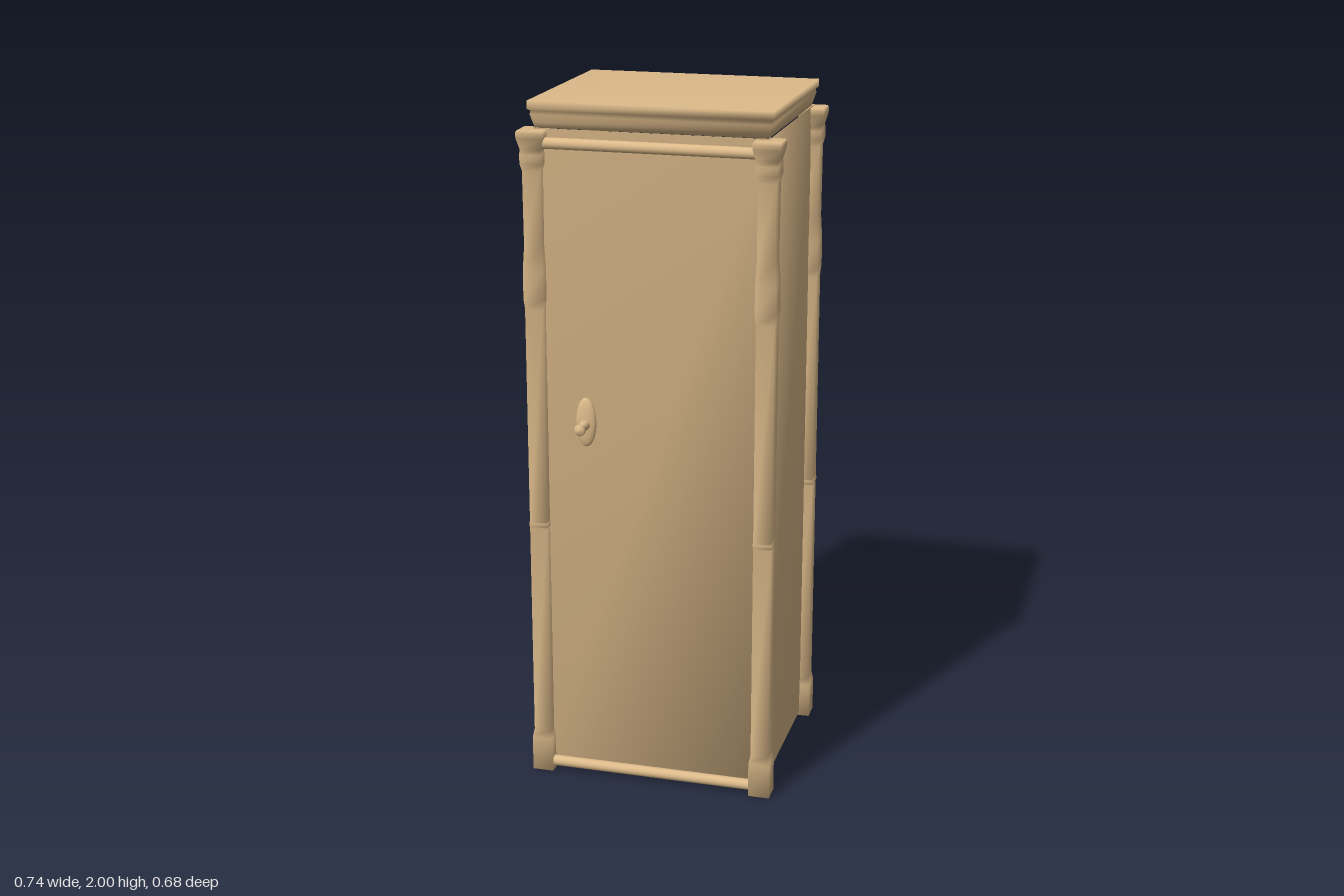
import * as THREE from 'three';

const wood = new THREE.MeshStandardMaterial({ color: 0xdcba8a });
wood.name = 'pale wood';

// Rectangular loft through rings [y, halfX, halfZ] with shared, smoothed corners
function loft(rings, capBottom, capTop) {
  const pos = [], idx = [];
  for (const [y, hx, hz = hx] of rings) {
    pos.push(-hx, y, hz, hx, y, hz, hx, y, -hz, -hx, y, -hz);
  }
  for (let r = 0; r < rings.length - 1; r++) {
    for (let i = 0; i < 4; i++) {
      const a = r * 4 + i, b = r * 4 + (i + 1) % 4;
      idx.push(a, b, b + 4, a, b + 4, a + 4);
    }
  }
  const t = (rings.length - 1) * 4;
  if (capBottom) idx.push(0, 2, 1, 0, 3, 2);
  if (capTop) idx.push(t, t + 1, t + 2, t, t + 2, t + 3);
  const g = new THREE.BufferGeometry();
  g.setAttribute('position', new THREE.Float32BufferAttribute(pos, 3));
  g.setIndex(idx);
  g.computeVertexNormals();
  return g;
}

export function createModel() {
  const group = new THREE.Group();
  group.name = 'wardrobe';
  const add = (name, geometry, x, y, z) => {
    const mesh = new THREE.Mesh(geometry, wood);
    mesh.name = name;
    mesh.position.set(x, y, z);
    group.add(mesh);
    return mesh;
  };
  const midZ = -0.018;

  // Cabinet and stepped cornice
  add('cabinet', loft([[0.012, 0.33, 0.282], [1.925, 0.33, 0.282]], true, false), 0, 0, midZ);
  add('cornice', loft([
    [1.925, 0.326, 0.28], [1.94, 0.33, 0.284], [1.962, 0.337, 0.289],
    [1.972, 0.335, 0.287], [1.978, 0.343, 0.295], [2, 0.343, 0.295],
  ], true, true), 0, 0, midZ);

  // Four square turned corner posts
  const post = loft([
    [0, 0.031], [0.105, 0.031], [0.13, 0.026], [0.77, 0.026], [0.775, 0.0275],
    [0.785, 0.0275], [0.79, 0.026], [1.42, 0.026], [1.45, 0.029], [1.53, 0.029],
    [1.6, 0.025], [1.81, 0.026], [1.83, 0.031], [1.855, 0.031], [1.87, 0.03],
    [1.9, 0.038], [1.915, 0.039], [1.922, 0.036],
  ], true, true);
  for (const x of [-0.33, 0.33]) {
    for (const z of [0.264, -0.3]) {
      add(z > 0 ? 'frontPost' : 'backPost', post, x, 0, z);
    }
  }

  // Round rails above and below the door
  const rail = new THREE.CylinderGeometry(0.016, 0.016, 0.62, 16);
  for (const [name, y] of [['bottomRail', 0.028], ['topRail', 1.887]]) {
    add(name, rail, 0, y, 0.277).rotation.z = Math.PI / 2;
  }

  // Domed oval plate and turned knob
  const plate = new THREE.SphereGeometry(1, 24, 16);
  add('knobPlate', plate, -0.19, 1.095, 0.264).scale.set(0.03, 0.072, 0.014);
  const profile = [
    [0.015, 0], [0.014, 0.03], [0.009, 0.042], [0.009, 0.05], [0.016, 0.058],
    [0.017, 0.066], [0.013, 0.072], [0, 0.075],
  ].map(([r, y]) => new THREE.Vector2(r, y));
  add('knob', new THREE.LatheGeometry(profile, 16), -0.19, 1.09, 0.262).rotation.x = Math.PI / 2;

  return group;
}
